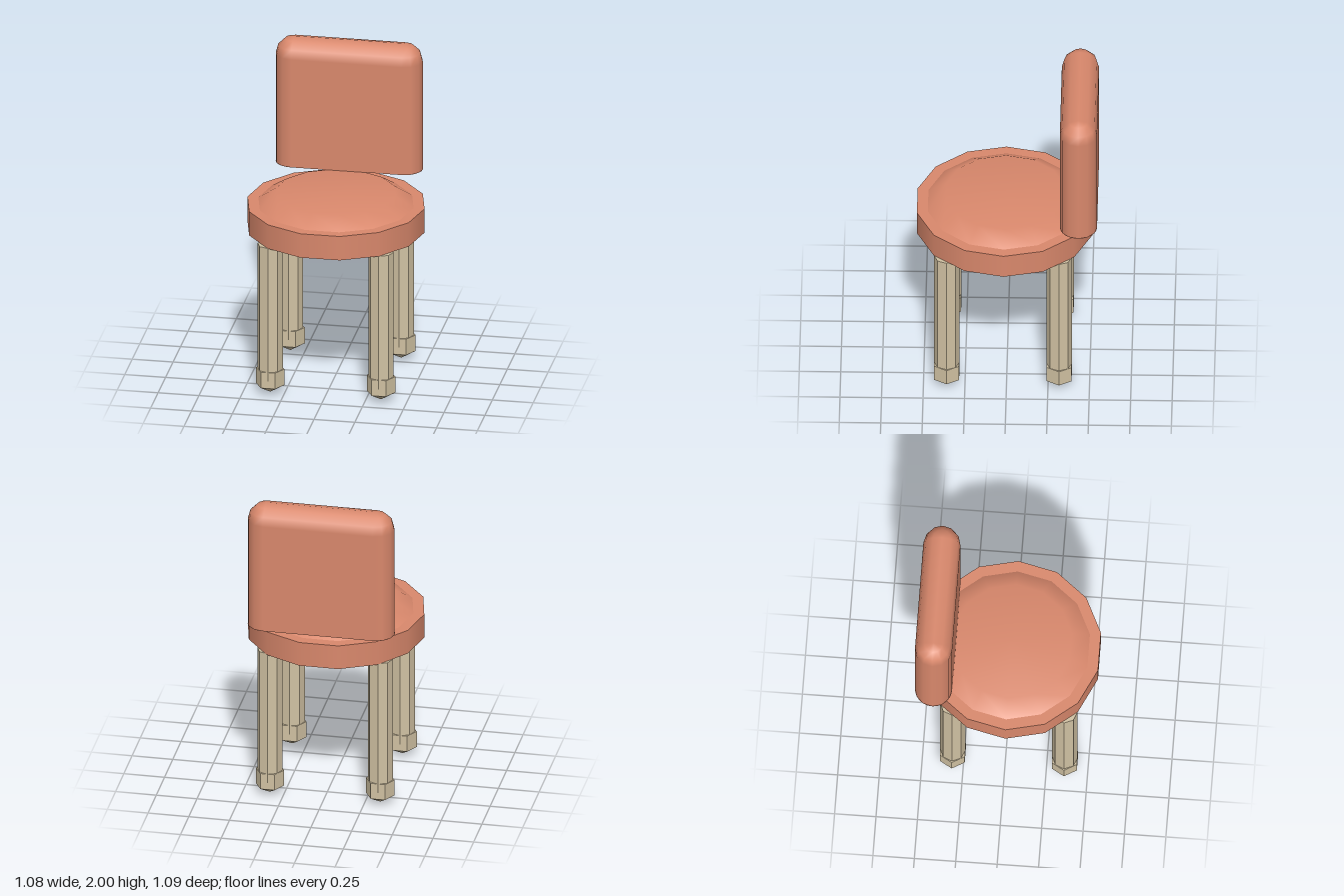
import * as THREE from 'three';

const coral = new THREE.MeshStandardMaterial({ color: 0xd9886c, side: THREE.DoubleSide });
coral.name = 'coral upholstery';
const wood = new THREE.MeshStandardMaterial({ color: 0xd0c1a2 });
wood.name = 'pale wood';

const QUARTER = Math.PI / 2;

function part(name, geometry, material, x = 0, y = 0, z = 0) {
  const mesh = new THREE.Mesh(geometry, material);
  mesh.name = name;
  mesh.position.set(x, y, z);
  return mesh;
}

// Faceted solid turned from a [radius, y] profile, with a corner on the x axis
function turned(profile, sides, faceted) {
  const points = profile.map(([r, y]) => new THREE.Vector2(r, y));
  const lathe = new THREE.LatheGeometry(points, sides, QUARTER);
  if (!faceted) return lathe;
  const flat = lathe.toNonIndexed();
  flat.computeVertexNormals();
  return flat;
}

// Backrest shell: stadium-shaped rings, straight sides, rounded over at the top
function backrestShell(halfCore, radius, bottom, top) {
  const steps = 6;
  const rings = [[0, bottom]];
  for (let i = 0; i <= 3; i++) {
    const tilt = (i / 3) * QUARTER;
    rings.push([tilt, top - radius + radius * Math.sin(tilt)]);
  }
  const positions = [], normals = [], index = [];
  const count = 2 * (steps + 1);
  rings.forEach(([tilt, y], row) => {
    for (let k = 0; k < count; k++) {
      const side = k <= steps ? 1 : -1;
      const local = k <= steps ? k : k - steps - 1;
      const a = -QUARTER + (local / steps) * Math.PI + (side < 0 ? Math.PI : 0);
      const c = Math.cos(tilt);
      positions.push(side * halfCore + radius * c * Math.cos(a), y, radius * c * Math.sin(a));
      normals.push(c * Math.cos(a), Math.sin(tilt), c * Math.sin(a));
      if (row === 0) continue;
      const next = (k + 1) % count;
      const lo = (row - 1) * count, hi = row * count;
      index.push(lo + k, hi + k, lo + next, lo + next, hi + k, hi + next);
    }
  });
  const geometry = new THREE.BufferGeometry();
  geometry.setAttribute('position', new THREE.Float32BufferAttribute(positions, 3));
  geometry.setAttribute('normal', new THREE.Float32BufferAttribute(normals, 3));
  geometry.setIndex(index);
  return geometry;
}

// Flat stadium that closes the underside of the backrest
function stadium(halfCore, radius) {
  const shape = new THREE.Shape();
  shape.absarc(halfCore, 0, radius, -QUARTER, QUARTER, false);
  shape.absarc(-halfCore, 0, radius, QUARTER, 3 * QUARTER, false);
  return new THREE.ShapeGeometry(shape, 6).rotateX(QUARTER);
}

export function createModel() {
  const model = new THREE.Group();
  model.name = 'chair';

  // Seat: hollow fourteen-sided rim, flat deck and a raised cushion
  const seat = new THREE.Group();
  seat.name = 'seat';
  seat.position.z = 0.015;
  seat.add(
    part('seatRim', turned([[0.542, 0.965], [0.542, 1.12]], 14, false), coral),
    part('seatDeck', new THREE.CircleGeometry(0.542, 14).rotateX(-QUARTER), coral, 0, 1.12),
    part('seatCushion', turned([[0.475, 1.12], [0.365, 1.19], [0, 1.192]], 14, false), coral),
  );
  model.add(seat);

  // Backrest
  const backrest = new THREE.Group();
  backrest.name = 'backrest';
  backrest.position.z = -0.433;
  backrest.add(
    part('backrestPad', backrestShell(0.338, 0.112, 1.19, 2), coral),
    part('backrestUnderside', stadium(0.338, 0.112), coral, 0, 1.19),
  );
  model.add(backrest);

  // Four octagonal legs on pointed hexagonal feet
  const legShape = turned([[0, 0.1], [0.077, 0.1], [0.077, 0.965], [0, 0.965]], 8, true);
  const footShape = turned([[0, 0.005], [0.087, 0.055], [0.087, 0.158], [0, 0.158]], 6, true);
  for (const [end, z] of [['front', 0.36], ['back', -0.317]]) {
    for (const [side, x] of [['Left', 0.339], ['Right', -0.339]]) {
      const leg = new THREE.Group();
      leg.name = `${end}${side}Leg`;
      leg.position.set(x, 0, z);
      leg.add(part('legPost', legShape, wood), part('foot', footShape, wood));
      model.add(leg);
    }
  }
  return model;
}
